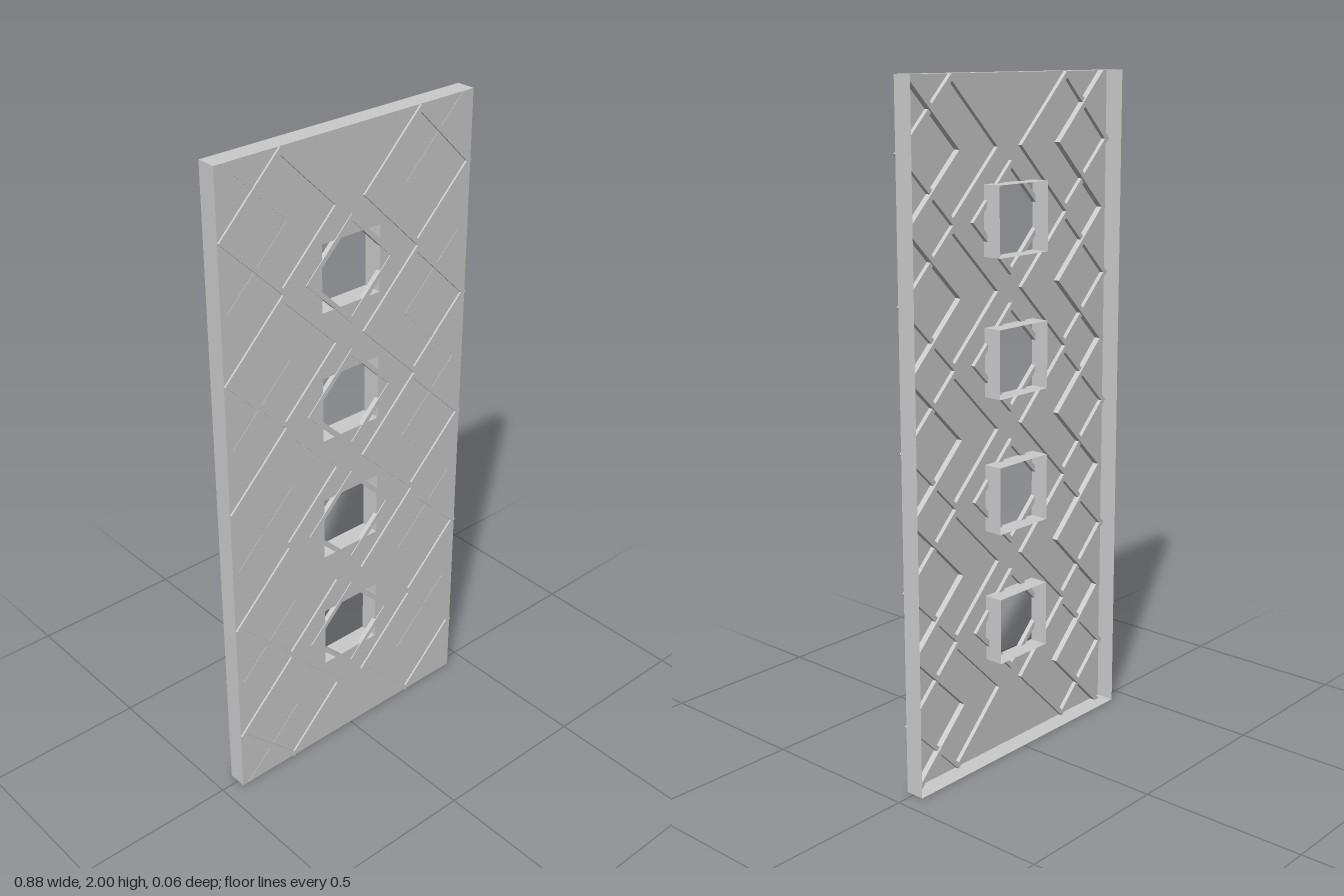
import * as THREE from 'three';

const W = 0.44, H = 2, BACK = -0.033, FACE = 0.025, FRONT = 0.031;

export function createModel() {
  const group = new THREE.Group();
  const mat = new THREE.MeshStandardMaterial({ color: 0xcccccc, side: THREE.DoubleSide, flatShading: true });
  const add = (name, geo, x = 0, y = 0, z = 0) => {
    const m = new THREE.Mesh(geo, mat);
    m.name = name;
    m.position.set(x, y, z);
    group.add(m);
    return m;
  };
  const points = (list) => list.map(([x, y]) => new THREE.Vector2(x, y));
  const diamond = (r) => points([[r, 0], [0, r], [-r, 0], [0, -r]]);
  const rect = (x, y0, y1) => points([[-x, y0], [x, y0], [x, y1], [-x, y1]]);
  const extrude = (shape, depth) => new THREE.ExtrudeGeometry(shape, { depth, bevelEnabled: false });

  // Diamond-shaped frame made of four thin bars
  const diamondFrame = (outer, inner, depth) => {
    const shape = new THREE.Shape(diamond(outer));
    shape.holes.push(new THREE.Path(diamond(inner)));
    return extrude(shape, depth);
  };

  // Four thin walls around a rectangle, open at front and back
  const walls = (name, halfW, y0, y1) => {
    const depth = FACE - BACK, z = (FACE + BACK) / 2;
    for (const s of [-1, 1]) {
      const side = add(name, new THREE.PlaneGeometry(depth, y1 - y0), s * halfW, (y0 + y1) / 2, z);
      side.rotation.y = s * Math.PI / 2;
      const cap = add(name, new THREE.PlaneGeometry(halfW * 2, depth), 0, s > 0 ? y1 : y0, z);
      cap.rotation.x = -s * Math.PI / 2;
    }
  };

  // Front sheet with four square windows, open at the back
  const sheet = new THREE.Shape(rect(W, 0, H));
  const windows = [0.4, 0.8, 1.2, 1.6];
  for (const y of windows) sheet.holes.push(new THREE.Path(rect(0.103, y - 0.1, y + 0.1)));
  add('frontSheet', new THREE.ShapeGeometry(sheet), 0, 0, FACE);
  walls('rimWall', W, 0, H);

  // Window linings and the diamond frames crossing their corners
  const windowFrame = diamondFrame(0.16, 0.14, 0.015);
  for (const y of windows) {
    walls('windowLining', 0.103, y - 0.1, y + 0.1);
    add('windowFrame', windowFrame, 0, y, 0.013);
  }

  // Two columns of large diamonds, with zigzag ribs along both edges
  const largeFrame = diamondFrame(0.2, 0.18, FRONT - 0.012);
  for (const s of [-1, 1]) {
    const rib = extrude(new THREE.Shape(points([
      [0.04, 0.2], [0.24, 0], [0.04, -0.2], [0.02, -0.2], [0.22, 0], [0.02, 0.2],
    ].map(([u, v]) => [-s * u, v]))), 0.02);
    for (let i = 0; i < 5; i++) {
      const y = 0.2 + i * 0.4;
      add('diamondFrame', largeFrame, s * 0.24, y, 0.012);
      add('edgeRib', rib, s * W, y, 0.006);
    }
  }
  return group;
}
